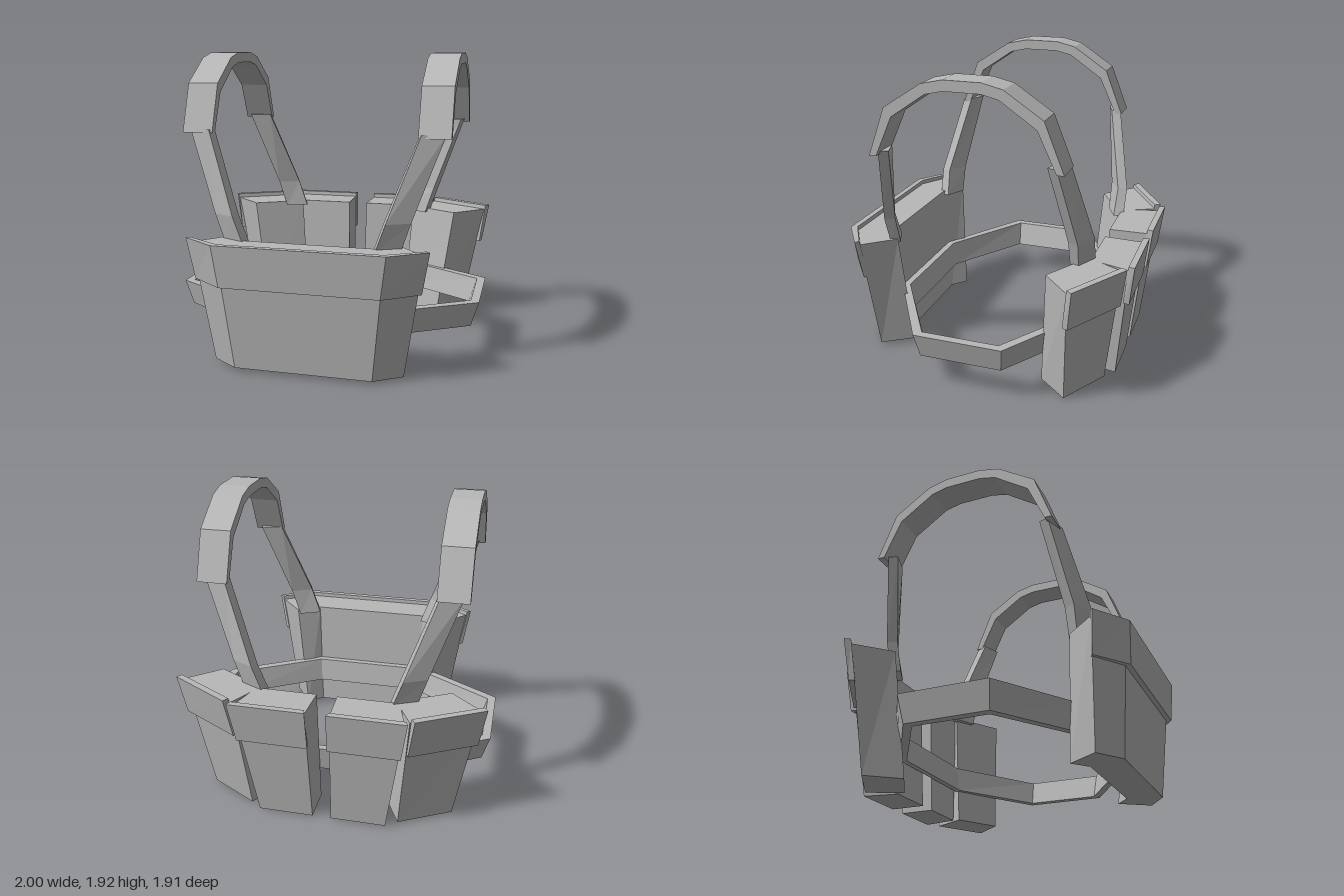
import * as THREE from 'three';

const grey = new THREE.MeshStandardMaterial({ color: 0xb8b8b8 });
grey.name = 'plain grey';
grey.flatShading = true;

// Skins a stack of plan outlines {y, pts:[[x,z],...]}; ring = closed band without caps
function loft(sections, ring = false) {
  const loops = sections.map(({ y, pts }) => {
    const v = pts.map(([x, z]) => new THREE.Vector2(x, -z));
    if (THREE.ShapeUtils.isClockWise(v)) v.reverse();
    return { y, v };
  });
  const pos = [];
  const put = (loop, i) => pos.push(loop.v[i].x, loop.y, -loop.v[i].y);
  const n = loops[0].v.length;
  const last = loops.length - 1;
  for (let s = 0; s < (ring ? loops.length : last); s++) {
    const a = loops[s], b = loops[(s + 1) % loops.length];
    for (let i = 0; i < n; i++) {
      const j = (i + 1) % n;
      put(a, i); put(a, j); put(b, j);
      put(a, i); put(b, j); put(b, i);
    }
  }
  if (!ring) {
    for (const [p, q, r] of THREE.ShapeUtils.triangulateShape(loops[last].v, [])) {
      put(loops[last], p); put(loops[last], q); put(loops[last], r);
    }
    for (const [p, q, r] of THREE.ShapeUtils.triangulateShape(loops[0].v, [])) {
      put(loops[0], r); put(loops[0], q); put(loops[0], p);
    }
  }
  const geo = new THREE.BufferGeometry();
  geo.setAttribute('position', new THREE.Float32BufferAttribute(pos, 3));
  geo.computeVertexNormals();
  return geo;
}

const sec = (y, pts) => ({ y, pts });
const map = (sections, f) => sections.map(({ y, pts }) => sec(y, pts.map(f)));
const symmetric = (half) => [...half, ...half.map(([x, z]) => [-x, z]).reverse()];

export function createModel() {
  const model = new THREE.Group();
  model.name = 'pouchHarness';
  const add = (name, geo) => {
    const mesh = new THREE.Mesh(geo, grey);
    mesh.name = name;
    model.add(mesh);
    return mesh;
  };

  // Eight-sided waist belt, flaring upward
  const octagon = (x1, z1, x2, z2) =>
    [[x1, -z1], [x1, z1], [x2, z2], [-x2, z2], [-x1, z1], [-x1, -z1], [-x2, -z2], [x2, -z2]]
      .map(([x, z]) => [x, z + 0.005]);
  add('belt', loft([
    sec(0.21, octagon(0.95, 0.265, 0.385, 0.62)),
    sec(0.375, octagon(1.0, 0.285, 0.4, 0.65)),
    sec(0.375, octagon(0.945, 0.25, 0.375, 0.605)),
    sec(0.21, octagon(0.895, 0.24, 0.365, 0.58)),
  ], true));

  // Wide front pouch and its wrapped flap
  add('frontPouch', loft([
    sec(0.02, symmetric([[0.43, 0.85], [0.6, 0.735], [0.47, 0.545], [0.37, 0.63]])),
    sec(0.785, symmetric([[0.51, 0.925], [0.72, 0.785], [0.55, 0.595], [0.4, 0.69]])),
  ]));
  add('frontPouchFlap', loft([
    sec(0.55, symmetric([[0.49, 0.935], [0.705, 0.775], [0.68, 0.76], [0.475, 0.895]])),
    sec(0.812, symmetric([[0.525, 0.955], [0.75, 0.8], [0.725, 0.78], [0.505, 0.915]])),
  ]));

  // Small rear pouches: outer near, outer far, inner far, inner near
  const rearPouches = {
    middle: {
      body: [
        sec(0, [[0.06, -0.845], [0.41, -0.845], [0.37, -0.62], [0.06, -0.62]]),
        sec(0.785, [[0.075, -0.925], [0.53, -0.925], [0.455, -0.67], [0.065, -0.67]]),
      ],
      flap: [
        sec(0.55, [[0.06, -0.93], [0.51, -0.93], [0.505, -0.89], [0.065, -0.89]]),
        sec(0.812, [[0.065, -0.96], [0.55, -0.96], [0.535, -0.92], [0.075, -0.92]]),
      ],
    },
    corner: {
      body: [
        sec(0, [[0.48, -0.79], [0.8, -0.61], [0.64, -0.42], [0.37, -0.575]]),
        sec(0.785, [[0.55, -0.885], [0.95, -0.655], [0.75, -0.47], [0.43, -0.65]]),
      ],
      flap: [
        sec(0.55, [[0.545, -0.885], [0.94, -0.66], [0.925, -0.625], [0.53, -0.85]]),
        sec(0.812, [[0.585, -0.922], [0.985, -0.69], [0.96, -0.655], [0.56, -0.885]]),
      ],
    },
  };

  // Shoulder strap cross-sections, from hem to shoulder
  const strap = [
    sec(0.76, [[0.41, 0.715], [0.555, 0.645], [0.53, 0.585], [0.39, 0.65]]),
    sec(0.94, [[0.475, 0.72], [0.615, 0.65], [0.59, 0.585], [0.455, 0.66]]),
    sec(1.455, [[0.66, 0.61], [0.8, 0.565], [0.78, 0.505], [0.645, 0.55]]),
  ];

  // Shoulder arch profile as [z, y], outer edge then inner edge
  const outer = [[0.605, 1.435], [0.495, 1.735], [0.255, 1.89], [0.12, 1.92],
    [-0.11, 1.92], [-0.24, 1.89], [-0.475, 1.735], [-0.595, 1.435]];
  const inner = [[-0.55, 1.435], [-0.435, 1.68], [-0.215, 1.83], [-0.11, 1.855],
    [0.12, 1.855], [0.23, 1.83], [0.45, 1.68], [0.56, 1.435]];
  const arch = new THREE.Shape([...outer, ...inner].map(([z, y]) => new THREE.Vector2(-z, y)));

  for (const [side, s] of [['left', 1], ['right', -1]]) {
    for (const [place, { body, flap }] of Object.entries(rearPouches)) {
      add(`${side} ${place} rear pouch`, loft(map(body, ([x, z]) => [s * x, z])));
      add(`${side} ${place} rear flap`, loft(map(flap, ([x, z]) => [s * x, z])));
    }
    add(`${side} front strap`, loft(map(strap, ([x, z]) => [s * x, z])));
    add(`${side} back strap`, loft(map(strap, ([x, z]) => [s * x, 0.025 - z])));
    const geo = new THREE.ExtrudeGeometry(arch, { depth: 0.195, bevelEnabled: false });
    geo.rotateY(Math.PI / 2);
    add(`${side} shoulder arch`, geo).position.x = s > 0 ? 0.64 : -0.835;
  }
  return model;
}
